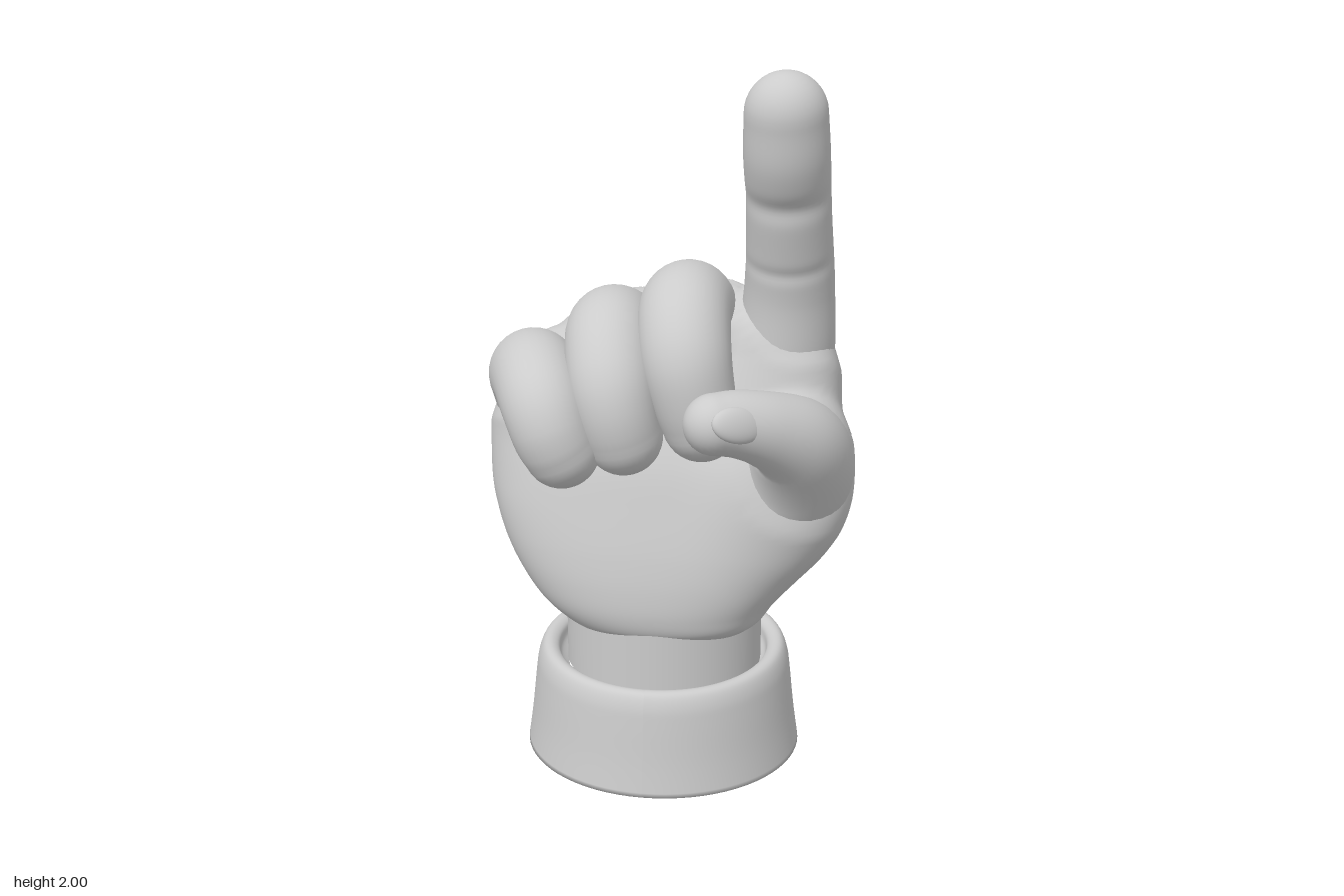
import * as THREE from 'three';
import { mergeVertices } from 'three/addons/utils/BufferGeometryUtils.js';

const V = (x, y, z) => new THREE.Vector3(x, y, z);
const material = new THREE.MeshStandardMaterial({ color: 0xcccccc });

function addMesh(group, name, geometry) {
  const mesh = new THREE.Mesh(geometry, material);
  mesh.name = name;
  group.add(mesh);
  return mesh;
}

// Skin over a list of closed rings, each with the same number of points
function skin(rings) {
  const n = rings[0].length, index = [];
  for (let i = 0; i < rings.length - 1; i++) {
    for (let j = 0; j < n; j++) {
      const a = i * n + j, b = i * n + (j + 1) % n;
      index.push(a, b, b + n, a, b + n, a + n);
    }
  }
  let geo = new THREE.BufferGeometry().setFromPoints(rings.flat());
  geo.setIndex(index);
  geo = mergeVertices(geo, 1e-5);
  geo.computeVertexNormals();
  return geo;
}

// Smooth path and radius curve through [x, y, z, radius] points
const curves = (points) => [
  new THREE.CatmullRomCurve3(points.map(p => V(p[0], p[1], p[2]))),
  new THREE.CatmullRomCurve3(points.map((p, i) => V(i, p[3], 0))),
];

// Round limb with domed ends; shape(point, direction) scales the radius locally
function limb(points, shape = () => 1, steps = 44, sides = 32) {
  const [path, radii] = curves(points);
  const frames = path.computeFrenetFrames(steps);
  const rings = [];
  const ring = (i, lift, squeeze) => {
    const t = path.getUtoTmapping(i / steps), r = radii.getPoint(t).y;
    const centre = path.getPoint(t).addScaledVector(frames.tangents[i], lift * r);
    rings.push(Array.from({ length: sides }, (_, j) => {
      const a = j / sides * Math.PI * 2;
      const dir = frames.normals[i].clone().multiplyScalar(Math.cos(a))
        .addScaledVector(frames.binormals[i], Math.sin(a));
      return centre.clone().addScaledVector(dir, r * squeeze * shape(centre, dir));
    }));
  };
  const cap = 9, quarter = Math.PI / 2;
  for (let k = cap; k > 0; k--) ring(0, -Math.sin(k / cap * quarter), Math.cos(k / cap * quarter));
  for (let i = 0; i <= steps; i++) ring(i, 0, 1);
  for (let k = 1; k <= cap; k++) ring(steps, Math.sin(k / cap * quarter), Math.cos(k / cap * quarter));
  return skin(rings);
}

// Palm: rounded cross-sections [y, xMin, xMax, zMin, zMax] stacked upward,
// bent forward at both sides and swollen where the limbs grow out of it
function palm(limbs) {
  const sections = [
    [0.40, -0.29, 0.25, -0.28, 0.20], [0.43, -0.325, 0.28, -0.297, 0.23],
    [0.48, -0.38, 0.31, -0.325, 0.245], [0.56, -0.44, 0.37, -0.365, 0.245],
    [0.66, -0.492, 0.44, -0.405, 0.23], [0.78, -0.525, 0.49, -0.435, 0.20],
    [0.90, -0.52, 0.495, -0.443, 0.165], [1.00, -0.495, 0.48, -0.44, 0.12],
    [1.10, -0.45, 0.455, -0.43, 0.07], [1.20, -0.36, 0.42, -0.40, 0.01],
    [1.27, -0.22, 0.385, -0.355, -0.04], [1.31, -0.06, 0.345, -0.295, -0.10],
    [1.33, 0.1, 0.25, -0.23, -0.17],
  ];
  const xs = new THREE.CatmullRomCurve3(sections.map(s => V(s[1], s[0], s[2])));
  const zs = new THREE.CatmullRomCurve3(sections.map(s => V(s[3], s[0], s[4])));
  const steps = 96, sides = 96, rings = [];
  const power = (v) => Math.sign(v) * Math.abs(v) ** (2 / 2.2);
  const ring = (t, size) => {
    const xr = xs.getPoint(t), zr = zs.getPoint(t);
    rings.push(Array.from({ length: sides }, (_, j) => {
      const a = j / sides * Math.PI * 2;
      const x = (xr.x + xr.z) / 2 + power(Math.sin(a)) * size * (xr.z - xr.x) / 2;
      const z = (zr.x + zr.z) / 2 + power(Math.cos(a)) * size * (zr.z - zr.x) / 2;
      return V(x, xr.y, z + (x > 0 ? 0.5 : 0.2) * x * x);
    }));
  };
  ring(0, 0);
  for (let i = 0; i <= steps; i++) ring(i / steps, 1);
  ring(1, 0);
  const geo = skin(rings);

  // Soft fillets around the limb roots
  const roots = limbs.flatMap(points => {
    const [path, radii] = curves(points);
    return Array.from({ length: 24 }, (_, i) =>
      ({ centre: path.getPoint(i * 0.02), radius: radii.getPoint(i * 0.02).y }));
  });
  const pos = geo.attributes.position, normal = geo.attributes.normal, reach = 0.12;
  for (let i = 0; i < pos.count; i++) {
    const p = V().fromBufferAttribute(pos, i), n = V().fromBufferAttribute(normal, i);
    const gap = Math.min(...roots.map(s => s.centre.distanceTo(p) - s.radius));
    const h = THREE.MathUtils.clamp(1 - gap / reach, 0, 1);
    p.addScaledVector(n, reach / 4 * h * h);
    pos.setXYZ(i, p.x, p.y, p.z);
  }
  geo.computeVertexNormals();
  return geo;
}

// Flared cuff, hollow underneath, with a rolled and slightly tilted top
function cuff() {
  const spline = (points, n) =>
    new THREE.SplineCurve(points.map(p => new THREE.Vector2(...p))).getPoints(n);
  const profile = [
    ...spline([[0, 0.24], [0.16, 0.225], [0.27, 0.16], [0.33, 0.06], [0.352, 0.015], [0.375, 0]], 20),
    ...spline([[0.404, 0], [0.39, 0.1], [0.377, 0.22], [0.369, 0.275], [0.354, 0.31],
      [0.332, 0.318], [0.31, 0.305], [0.302, 0.275], [0.28, 0.25]], 40),
  ];
  const geo = new THREE.LatheGeometry(profile, 72);
  const pos = geo.attributes.position;
  for (let i = 0; i < pos.count; i++) {
    const y = pos.getY(i);
    pos.setY(i, y - pos.getZ(i) * 0.05 * Math.min(1, y / 0.3));
  }
  geo.computeVertexNormals();
  return geo;
}

export function createModel() {
  const hand = new THREE.Group();
  hand.name = 'pointingHand';

  const cuffMesh = addMesh(hand, 'cuff', cuff());
  cuffMesh.position.set(-0.022, 0, -0.013);
  cuffMesh.scale.z = 0.97;
  const wrist = addMesh(hand, 'wrist', new THREE.CylinderGeometry(0.287, 0.287, 0.24, 64));
  wrist.position.set(-0.022, 0.37, -0.03);
  wrist.scale.z = 0.91;

  // Curled fingers, from knuckle over the top to the tucked tip
  const curled = {
    middleFinger: [[0.03, 1.00, -0.27, 0.14], [0.035, 1.19, -0.23, 0.143], [0.045, 1.318, -0.07, 0.13],
      [0.05, 1.325, 0.07, 0.128], [0.07, 1.235, 0.17, 0.125], [0.095, 1.13, 0.19, 0.115], [0.115, 1.06, 0.185, 0.108]],
    ringFinger: [[-0.14, 0.95, -0.26, 0.14], [-0.155, 1.12, -0.22, 0.143], [-0.165, 1.24, -0.06, 0.13],
      [-0.155, 1.252, 0.08, 0.126], [-0.13, 1.16, 0.195, 0.122], [-0.11, 1.08, 0.222, 0.113], [-0.095, 1.02, 0.215, 0.108]],
    littleFinger: [[-0.34, 0.86, -0.14, 0.155], [-0.378, 1.01, -0.105, 0.148], [-0.393, 1.115, -0.01, 0.13],
      [-0.355, 1.142, 0.12, 0.125], [-0.31, 1.1, 0.23, 0.118], [-0.28, 1.03, 0.262, 0.111], [-0.26, 0.985, 0.255, 0.106]],
  };
  for (const [name, points] of Object.entries(curled)) addMesh(hand, name, limb(points));
  // Flesh filling the folds inside the curled fingers
  addMesh(hand, 'fingerFolds', limb([[-0.28, 1.02, 0.08, 0.11], [-0.13, 1.1, 0.07, 0.13],
    [0.02, 1.17, 0.05, 0.135]]));

  // Raised index finger with two creases and a full fingertip pad on its front
  const index = [[0.265, 0.98, -0.16, 0.14], [0.308, 1.17, -0.125, 0.143],
    [0.323, 1.38, -0.092, 0.127], [0.323, 1.6, -0.025, 0.117], [0.32, 1.78, 0.035, 0.116],
    [0.318, 1.888, 0.066, 0.112]];
  const dip = (y, at, width) => Math.exp(-(((y - at) / width) ** 2));
  const creases = (p, dir) => 1 + Math.max(0, dir.z) *
    (0.09 * dip(p.y, 1.78, 0.08) - 0.1 * dip(p.y, 1.665, 0.03) - 0.05 * dip(p.y, 1.475, 0.02));
  addMesh(hand, 'indexFinger', limb(index, creases, 90));

  // Thumb bent across the front, and its nail
  const thumb = [[0.19, 0.68, -0.06, 0.18], [0.30, 0.80, 0.0, 0.19],
    [0.373, 0.92, 0.09, 0.16], [0.374, 1.022, 0.2, 0.128], [0.297, 1.088, 0.292, 0.102],
    [0.225, 1.115, 0.342, 0.09], [0.175, 1.122, 0.375, 0.083]];
  addMesh(hand, 'thumb', limb(thumb));
  const nail = addMesh(hand, 'thumbnail', new THREE.SphereGeometry(1, 32, 20));
  const along = V(-0.72, 0.2, 0.5).normalize();
  const out = V(0.45, 0.34, 0.8);
  out.addScaledVector(along, -out.dot(along)).normalize();
  const across = V().crossVectors(out, along);
  nail.quaternion.setFromRotationMatrix(new THREE.Matrix4().makeBasis(along, across, out));
  nail.scale.set(0.078, 0.048, 0.024);
  nail.position.set(0.197, 1.112, 0.36).addScaledVector(out, 0.076);

  addMesh(hand, 'palm', palm([...Object.values(curled), index, thumb]));
  return hand;
}
